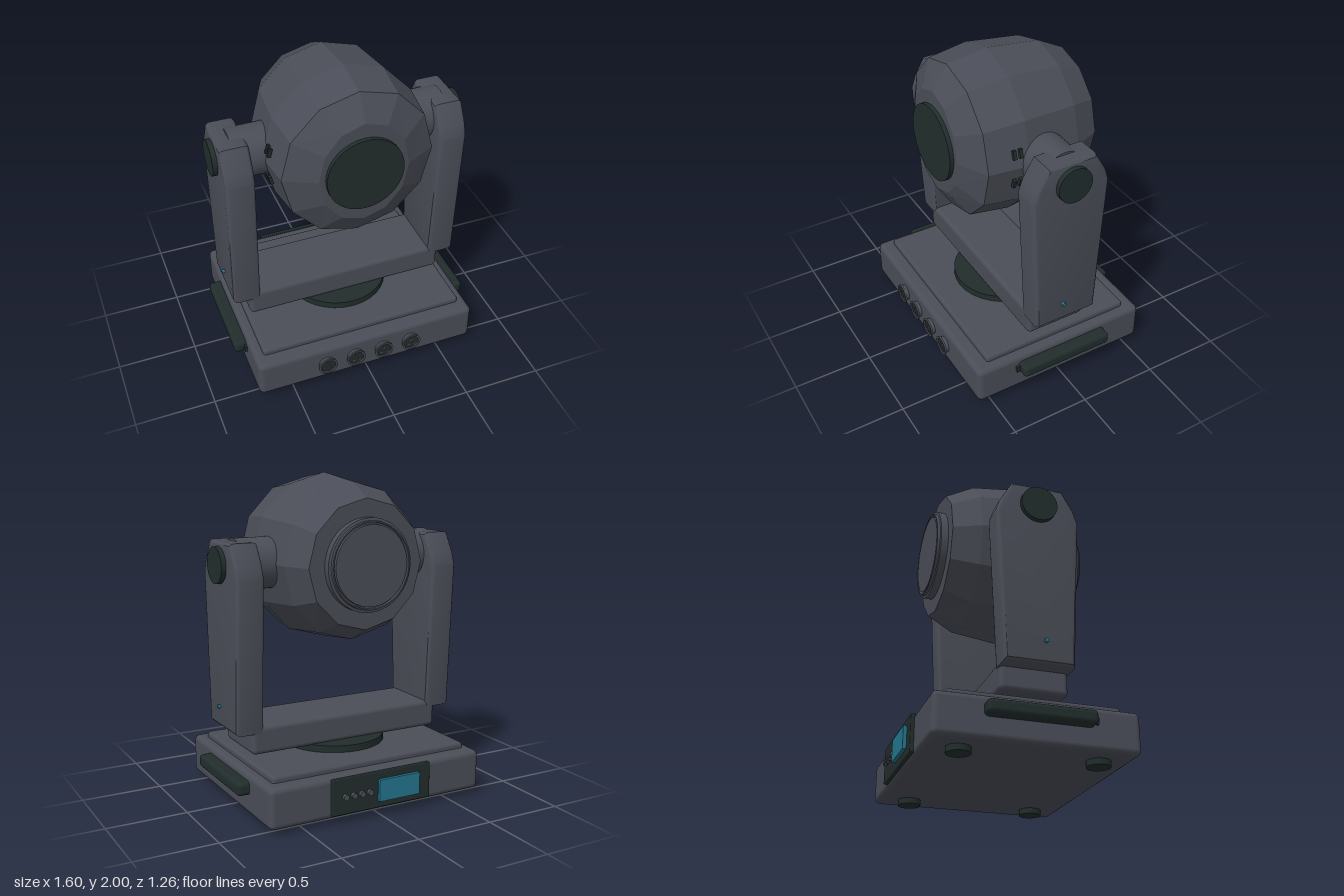
import * as THREE from 'three';
import { toCreasedNormals } from 'three/addons/utils/BufferGeometryUtils.js';
import { RoundedBoxGeometry } from 'three/addons/geometries/RoundedBoxGeometry.js';

export function createModel() {
  const model = new THREE.Group();
  const material = (name, color) => {
    const m = new THREE.MeshStandardMaterial({ color });
    m.name = name;
    return m;
  };
  const body = material('slate grey', 0x4a4d57);
  const dark = material('dark green black', 0x212d2c);
  const teal = material('teal', 0x257590);

  const add = (name, geometry, mat, x = 0, y = 0, z = 0) => {
    const mesh = new THREE.Mesh(geometry, mat);
    mesh.name = name;
    mesh.position.set(x, y, z);
    model.add(mesh);
    return mesh;
  };
  const box = (w, h, d, r) => r ? new RoundedBoxGeometry(w, h, d, 3, r) : new THREE.BoxGeometry(w, h, d);
  // Cylinder along a chosen axis
  const rod = (r, length, axis = 'y', sides = 32) => {
    const g = new THREE.CylinderGeometry(r, r, length, sides);
    if (axis === 'x') g.rotateZ(-Math.PI / 2);
    if (axis === 'z') g.rotateX(Math.PI / 2);
    return g;
  };
  // Lathe whose axis points along +z
  const turned = (points, sides = 32) => toCreasedNormals(
    new THREE.LatheGeometry(points.map(p => new THREE.Vector2(...p)), sides).rotateX(Math.PI / 2), 0.5);

  // Base with raised lid, feet and turntable
  add('base', box(1.45, 0.25, 1.18, 0.035), body, 0, 0.16, 0);
  add('baseLid', box(1.33, 0.1, 1.0, 0.02), body, 0, 0.272, 0);
  for (const x of [-0.555, 0.555]) for (const z of [-0.4, 0.4])
    add('foot', rod(0.07, 0.06), dark, x, 0.03, z);
  add('turntable', rod(0.325, 0.06), dark, 0, 0.335, 0);

  // Front connectors: flared sleeve, dark socket and pins
  const sleeve = turned([[0.052, 0], [0.052, 0.022], [0.062, 0.024], [0.062, 0.035], [0.05, 0.035], [0.046, 0.025]]);
  for (const x of [-0.285, -0.095, 0.095, 0.285]) {
    add('connectorSleeve', sleeve, body, x, 0.163, 0.588);
    add('connectorSocket', rod(0.048, 0.03, 'z', 24), dark, x, 0.163, 0.601);
    for (let i = 0; i < 3; i++) {
      const a = Math.PI / 2 + i * Math.PI * 2 / 3;
      add('connectorPin', rod(0.008, 0.01, 'z', 8), body, x + 0.024 * Math.cos(a), 0.163 + 0.024 * Math.sin(a), 0.617);
    }
  }

  // Rear control panel
  add('controlPanel', box(0.675, 0.222, 0.03, 0.006), dark, 0, 0.168, -0.596);
  add('display', box(0.28, 0.135, 0.03), teal, -0.11, 0.168, -0.617);
  for (const x of [0.09, 0.145, 0.2, 0.255])
    add('button', rod(0.018, 0.03, 'z', 16), body, x, 0.168, -0.617);

  // Yoke crossbar
  add('yokeCrossbar', box(1.3, 0.175, 0.4, 0.03), body, 0, 0.443, 0);

  // Tapered yoke arm, outlined in z and y and extruded along x
  const bevel = 0.03;
  const armShape = new THREE.Shape([
    [-0.205, 0.49], [0.205, 0.49], [0.252, 1.42], [0.225, 1.5], [0.155, 1.62],
    [-0.155, 1.62], [-0.225, 1.5], [-0.252, 1.42],
  ].map(p => new THREE.Vector2(...p)));
  const arm = toCreasedNormals(new THREE.ExtrudeGeometry(armShape, {
    depth: 0.18 - 2 * bevel, bevelThickness: bevel, bevelSize: bevel, bevelOffset: -bevel, bevelSegments: 3,
  }).translate(0, 0, -(0.18 - 2 * bevel) / 2).rotateY(Math.PI / 2), 0.45);

  for (const s of [-1, 1]) {
    add('sideHandle', box(0.1, 0.082, 0.62, 0.025), dark, s * 0.75, 0.203, 0);
    add('handleMount', box(0.04, 0.04, 0.04), dark, s * 0.722, 0.2, 0.312);
    add('yokeArm', arm, body, s * 0.667, 0, 0);
    add('tiltHub', rod(0.155, 0.27, 'x'), body, s * 0.535, 1.48, 0);
    add('tiltCap', rod(0.11, 0.05, 'x'), dark, s * 0.762, 1.483, 0);
    add('indicator', rod(0.012, 0.04, 'x', 12), teal, s * 0.756, 0.622, 0.03);
    // Small cooling slots beside the hub
    for (const y of [1.385, 1.575]) for (const z of [0.165, 0.205]) {
      const slot = add('coolingSlot', box(0.02, 0.055, 0.02), dark, s * 0.477, y, z);
      slot.rotation.z = s * Math.sign(y - 1.48) * 0.26;
    }
  }

  // Twelve-sided faceted head: z, half width, half height for each ring
  const rings = [
    [-0.408, 0, 0], [-0.408, 0.38, 0.388], [-0.24, 0.455, 0.475], [0.11, 0.495, 0.517],
    [0.362, 0.465, 0.48], [0.457, 0.275, 0.33], [0.457, 0, 0],
  ];
  let shell = new THREE.LatheGeometry(rings.map(([z, , h]) => new THREE.Vector2(h, z)), 12);
  const pos = shell.attributes.position;
  for (let i = 0; i < pos.count; i++) {
    const [, w, h] = rings[i % rings.length];
    if (h) pos.setX(i, pos.getX(i) * w / h);
  }
  shell = shell.rotateX(Math.PI / 2).toNonIndexed();
  shell.computeVertexNormals();
  add('headShell', shell, body, 0, 1.483, 0);
  add('lens', rod(0.235, 0.05, 'z', 48), dark, 0, 1.485, 0.458);

  // Stepped rear cover with a groove
  const cover = turned([
    [0, -0.472], [0.24, -0.472], [0.242, -0.455], [0.25, -0.455], [0.252, -0.472],
    [0.26, -0.472], [0.262, -0.455], [0.278, -0.452], [0.278, -0.39],
  ], 48);
  add('rearCover', cover, body, 0, 1.483, 0);

  return model;
}
